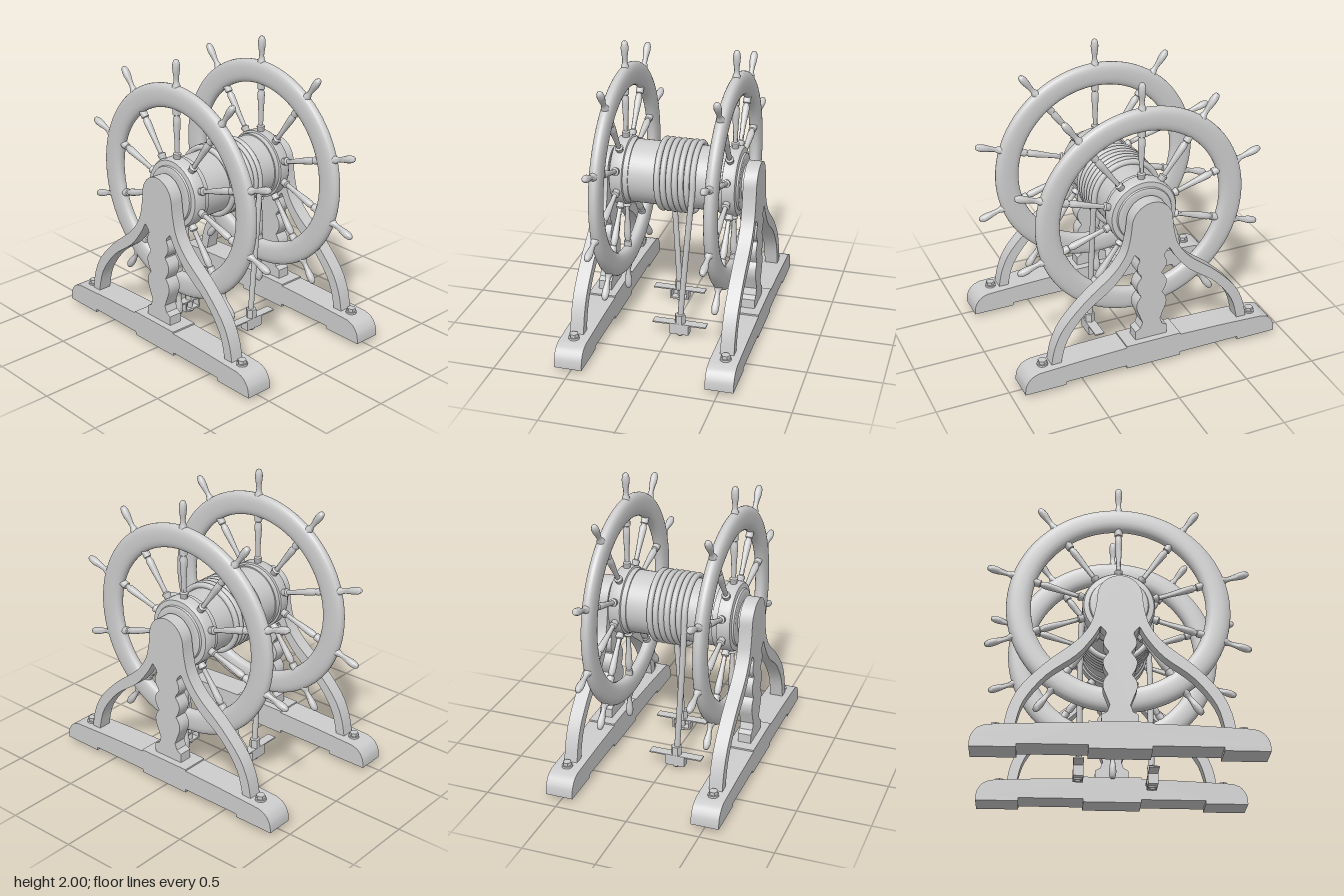
import * as THREE from 'three';
import { toCreasedNormals } from 'three/addons/utils/BufferGeometryUtils.js';

const grey = new THREE.MeshStandardMaterial({ color: 0xcccccc });
grey.name = 'plain grey';

const AXLE = 1.09;   // height of the axle
const SPOKES = 10;

const v2 = (list) => list.map(([x, y]) => new THREE.Vector2(x, y));

function add(parent, name, geometry, x = 0, y = 0, z = 0) {
  const mesh = new THREE.Mesh(geometry, grey);
  mesh.name = name;
  mesh.position.set(x, y, z);
  parent.add(mesh);
  return mesh;
}

// Lathe around y, profile listed upwards as [radius, height]
const turned = (profile, sides = 32, crease = 0.7) =>
  toCreasedNormals(new THREE.LatheGeometry(v2(profile), sides), crease);

// Extrude a shape so that it is centred on z = 0
function slab(shape, depth) {
  const g = new THREE.ExtrudeGeometry(shape, { depth, bevelEnabled: false, curveSegments: 16 });
  g.translate(0, 0, -depth / 2);
  return toCreasedNormals(g, 0.6);
}

// Close a right-hand outline with its mirror image
const mirrored = (right) => new THREE.Shape(v2([...right, ...right.map(([x, y]) => [-x, y]).reverse()]));

// Smooth curve through a few points
const smooth = (points, n) => new THREE.SplineCurve(v2(points)).getPoints(n).map((p) => [p.x, p.y]);

function makeWheel() {
  const wheel = new THREE.Group();
  wheel.name = 'wheel';

  // Rim with a rounded, flattened section
  const section = [];
  for (let i = 0; i <= 24; i++) {
    const t = (i / 24) * Math.PI * 2, c = Math.cos(t), s = Math.sin(t);
    section.push([0.654 + 0.081 * Math.sign(c) * Math.abs(c) ** 0.8,
      0.041 * Math.sign(s) * Math.abs(s) ** 0.8]);
  }
  section[24] = section[0];
  add(wheel, 'rim', new THREE.LatheGeometry(v2(section), 96)).rotation.x = Math.PI / 2;

  // Turned spokes with handles outside the rim
  const spoke = turned([[0.024, 0.2], [0.024, 0.255], [0.028, 0.26], [0.028, 0.272], [0.016, 0.28],
    [0.017, 0.35], [0.024, 0.47], [0.025, 0.51], [0.019, 0.525], [0.019, 0.535], [0.026, 0.54],
    [0.026, 0.6]], 14, 0.9);
  const grip = smooth([[0.026, 0.735], [0.017, 0.765], [0.019, 0.80], [0.025, 0.845], [0.024, 0.88],
    [0.015, 0.904], [0.0005, 0.91]], 20);
  const handle = turned([[0.027, 0.7], [0.027, 0.73], ...grip, [0, 0.91]], 14, 0.9);
  for (let i = 0; i < SPOKES; i++) {
    const angle = (i / SPOKES) * Math.PI * 2;
    add(wheel, 'spoke', spoke).rotation.z = angle;
    add(wheel, 'handle', handle).rotation.z = angle;
  }

  // Stepped hub, running outwards to the axle
  const hub = turned([[0, -0.075], [0.225, -0.075], [0.225, -0.04], [0.238, -0.036], [0.238, 0.034],
    [0.228, 0.05], [0.195, 0.054], [0.19, 0.066], [0.175, 0.072], [0.155, 0.07], [0.12, 0.072],
    [0.12, 0.1], [0, 0.1]], 48, 0.6);
  add(wheel, 'hub', hub).rotation.x = Math.PI / 2;
  return wheel;
}

function makeStand() {
  const stand = new THREE.Group();
  stand.name = 'stand';

  // Right half of the frame: column edge, inner arm edge, outer arm edge, arch
  const column = smooth([[0.064, 0.335], [0.085, 0.39], [0.107, 0.45], [0.103, 0.5], [0.076, 0.54]], 10);
  const waist = smooth([[0.078, 0.545], [0.102, 0.59], [0.106, 0.64], [0.074, 0.69]], 8);
  const bulb = smooth([[0.074, 0.70], [0.104, 0.745], [0.102, 0.79], [0.088, 0.83], [0.122, 0.872]], 10);
  const inner = smooth([[0.128, 0.87], [0.175, 0.79], [0.28, 0.665], [0.465, 0.525], [0.6, 0.35], [0.65, 0.18]], 20);
  const outer = smooth([[0.718, 0.18], [0.69, 0.31], [0.62, 0.45], [0.465, 0.615], [0.28, 0.765],
    [0.19, 0.885], [0.157, 1.0], [0.145, 1.09]], 24);
  const arch = [];
  for (let i = 1; i < 10; i++) {
    const a = (i / 20) * Math.PI;
    arch.push([0.145 * Math.cos(a), AXLE + 0.15 * Math.sin(a)]);
  }
  add(stand, 'frame', slab(mirrored([[0.115, 0.19], [0.115, 0.27], [0.08, 0.29], ...column, ...waist,
    ...bulb, ...inner, ...outer, ...arch, [0.003, 1.24]]), 0.092), 0, 0, 0.512);

  // Base beam with raised underside and rounded ends
  const end = smooth([[0.922, 0.05], [0.912, 0.1], [0.875, 0.15], [0.82, 0.172]], 10);
  add(stand, 'baseBeam', slab(mirrored([[0.197, 0.028], [0.197, 0.05], [0.635, 0.05], [0.635, 0.028],
    [0.922, 0.028], ...end, [0.5, 0.187], [0.197, 0.195], [0.197, 0.206]]), 0.19), 0, 0, 0.51);

  // Hexagonal bolts through the feet of the arms
  for (const x of [-0.767, 0.767]) {
    add(stand, 'boltWasher', new THREE.CylinderGeometry(0.037, 0.037, 0.02, 20), x, 0.177, 0.515);
    add(stand, 'boltHead', toCreasedNormals(new THREE.CylinderGeometry(0.03, 0.03, 0.04, 6), 0.5), x, 0.19, 0.515);
  }
  return stand;
}

// Rope wound on the drum, both ends hanging to the anchors
function makeRope() {
  const points = [new THREE.Vector3(-0.24, 0.1, 0.068), new THREE.Vector3(-0.24, 0.4, 0.085),
    new THREE.Vector3(-0.24, 0.8, 0.108)];
  const turns = 6.5, steps = 156, r = 0.234;
  for (let i = 0; i <= steps; i++) {
    const t = i / steps, a = Math.PI - t * turns * Math.PI * 2;
    points.push(new THREE.Vector3(r * Math.cos(a), AXLE + r * Math.sin(a), 0.118 - 0.265 * t));
  }
  points.push(new THREE.Vector3(0.24, 0.8, -0.122), new THREE.Vector3(0.24, 0.4, -0.088),
    new THREE.Vector3(0.24, 0.1, -0.065));
  const path = new THREE.CurvePath();
  const curve = new THREE.CatmullRomCurve3(points, false, 'centripetal');
  curve.arcLengthDivisions = 1600;
  path.add(curve);
  return new THREE.TubeGeometry(curve, 420, 0.02, 10);
}

// Rope anchor: plate, open bracket under it, socket and nut
function makeAnchor(side) {
  const anchor = new THREE.Group();
  anchor.name = 'ropeAnchor';
  add(anchor, 'plate', new THREE.BoxGeometry(0.066, 0.009, 0.375), 0, 0.094, 0);
  for (const z of [-0.061, 0.061]) {
    add(anchor, 'bracketWall', new THREE.BoxGeometry(0.066, 0.07, 0.012), 0, 0.056, z);
  }
  add(anchor, 'bracketFloor', new THREE.BoxGeometry(0.066, 0.012, 0.134), 0, 0.026, 0);
  add(anchor, 'bracketSide', new THREE.BoxGeometry(0.01, 0.07, 0.134), side * 0.028, 0.056, 0);
  add(anchor, 'socket', toCreasedNormals(new THREE.CylinderGeometry(0.037, 0.037, 0.065, 6), 0.5), 0, 0.128, 0);
  add(anchor, 'pin', new THREE.CylinderGeometry(0.018, 0.018, 0.12, 16), 0, 0.06, 0);
  add(anchor, 'nut', new THREE.CylinderGeometry(0.028, 0.028, 0.012, 16), 0, 0.016, 0);
  anchor.position.set(side * 0.245, 0, side * -0.067);
  return anchor;
}

export function createModel() {
  const model = new THREE.Group();
  model.name = 'steeringWheels';

  // Wheel and stand at the front, turned round for the back
  for (const turn of [0, Math.PI]) {
    const half = new THREE.Group();
    half.name = turn ? 'backHalf' : 'frontHalf';
    const wheel = makeWheel();
    wheel.position.set(0, AXLE, 0.378);
    half.add(wheel, makeStand());
    half.rotation.y = turn;
    model.add(half);
  }

  const drum = new THREE.CylinderGeometry(0.216, 0.216, 0.68, 48);
  add(model, 'drum', drum, 0, AXLE, 0).rotation.x = Math.PI / 2;
  add(model, 'rope', makeRope());
  model.add(makeAnchor(-1), makeAnchor(1));
  return model;
}
